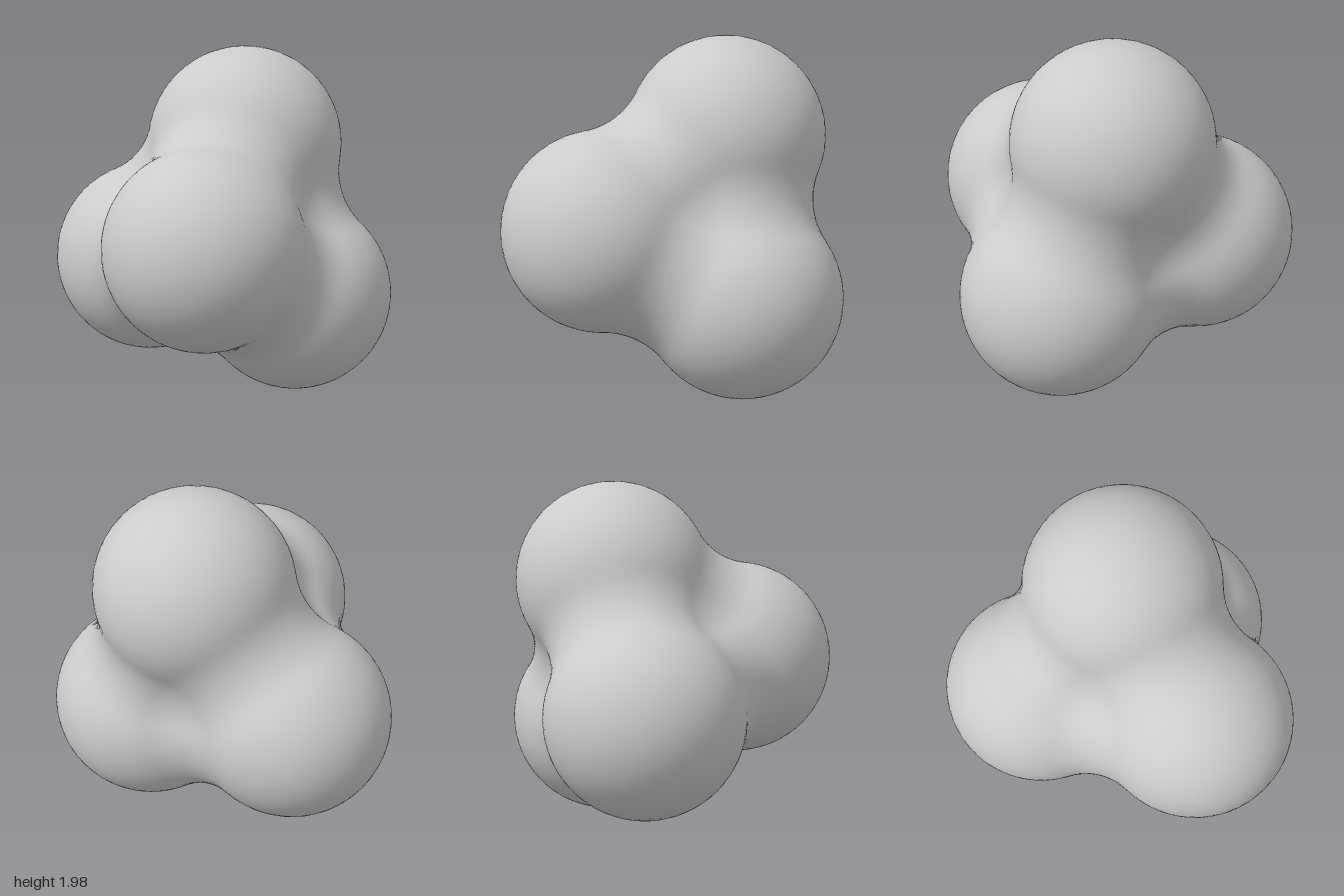
import * as THREE from 'three';
import { mergeVertices } from 'three/addons/utils/BufferGeometryUtils.js';

const V = (x, y, z) => new THREE.Vector3(x, y, z);

// Four equal lobes, joined as if a ball of radius PROBE had rolled over them
const LOBE = 0.56, PROBE = 0.43, REACH = LOBE + PROBE;
const lobes = [
  V(0.12, 1.42, -0.34),  // top
  V(-0.44, 0.715, -0.18), // right-hand side
  V(0.305, 0.935, 0.38), // front
  V(0.44, 0.56, -0.38),  // left-hand back
];
const centre = lobes.reduce((sum, c) => sum.add(c), V(0, 0, 0)).multiplyScalar(1 / lobes.length);

// Circles on which the ball touches two lobes, and points where it touches three
const circles = [], corners = [];
lobes.forEach((a, i) => lobes.forEach((b, j) => {
  if (j <= i) return;
  const axis = b.clone().sub(a).normalize();
  const radius = Math.sqrt(REACH ** 2 - a.distanceToSquared(b) / 4);
  circles.push({ mid: a.clone().lerp(b, 0.5), axis, radius });
  lobes.forEach((c, k) => {
    if (k <= j) return;
    const u = b.clone().sub(a), v = c.clone().sub(a), n = u.clone().cross(v);
    const hub = v.clone().multiplyScalar(u.lengthSq()).sub(u.clone().multiplyScalar(v.lengthSq()))
      .cross(n).multiplyScalar(1 / (2 * n.lengthSq()));
    // keep the circumcentre on the same side for every triangle
    if (Math.abs(hub.length() - hub.distanceTo(u)) > 1e-6) hub.negate();
    const lift = Math.sqrt(REACH ** 2 - hub.lengthSq());
    n.normalize();
    for (const s of [-1, 1]) corners.push(a.clone().add(hub).addScaledVector(n, s * lift));
  });
}));

// Distance from a point inside to the nearest free position of the ball's centre
function clearance(p) {
  const spots = [...corners];
  for (const c of lobes) spots.push(p.clone().sub(c).setLength(REACH).add(c));
  for (const { mid, axis, radius } of circles) {
    spots.push(p.clone().sub(mid).projectOnPlane(axis).setLength(radius).add(mid));
  }
  let best = Infinity;
  for (const q of spots) {
    if (lobes.every((c) => c.distanceTo(q) > REACH - 1e-5)) best = Math.min(best, p.distanceTo(q));
  }
  return best;
}

export function createModel() {
  const group = new THREE.Group();
  group.name = 'blendedLobes';

  // Push a fine sphere outwards from the centre until it meets the blended surface
  let geometry = new THREE.IcosahedronGeometry(1, 20);
  geometry.deleteAttribute('normal');
  geometry.deleteAttribute('uv');
  geometry = mergeVertices(geometry);
  const pos = geometry.attributes.position, dir = V(0, 0, 0);
  for (let i = 0; i < pos.count; i++) {
    dir.fromBufferAttribute(pos, i).normalize();
    let t = 0.2;
    for (let step = 0; step < 40; step++) {
      const gap = clearance(centre.clone().addScaledVector(dir, t)) - PROBE;
      if (gap < 1e-4) break;
      t += gap;
    }
    const p = centre.clone().addScaledVector(dir, t);
    pos.setXYZ(i, p.x, p.y, p.z);
  }
  geometry.computeVertexNormals();

  const body = new THREE.Mesh(geometry, new THREE.MeshStandardMaterial({ color: 0xcccccc }));
  body.name = 'lobedBody';
  group.add(body);
  return group;
}
